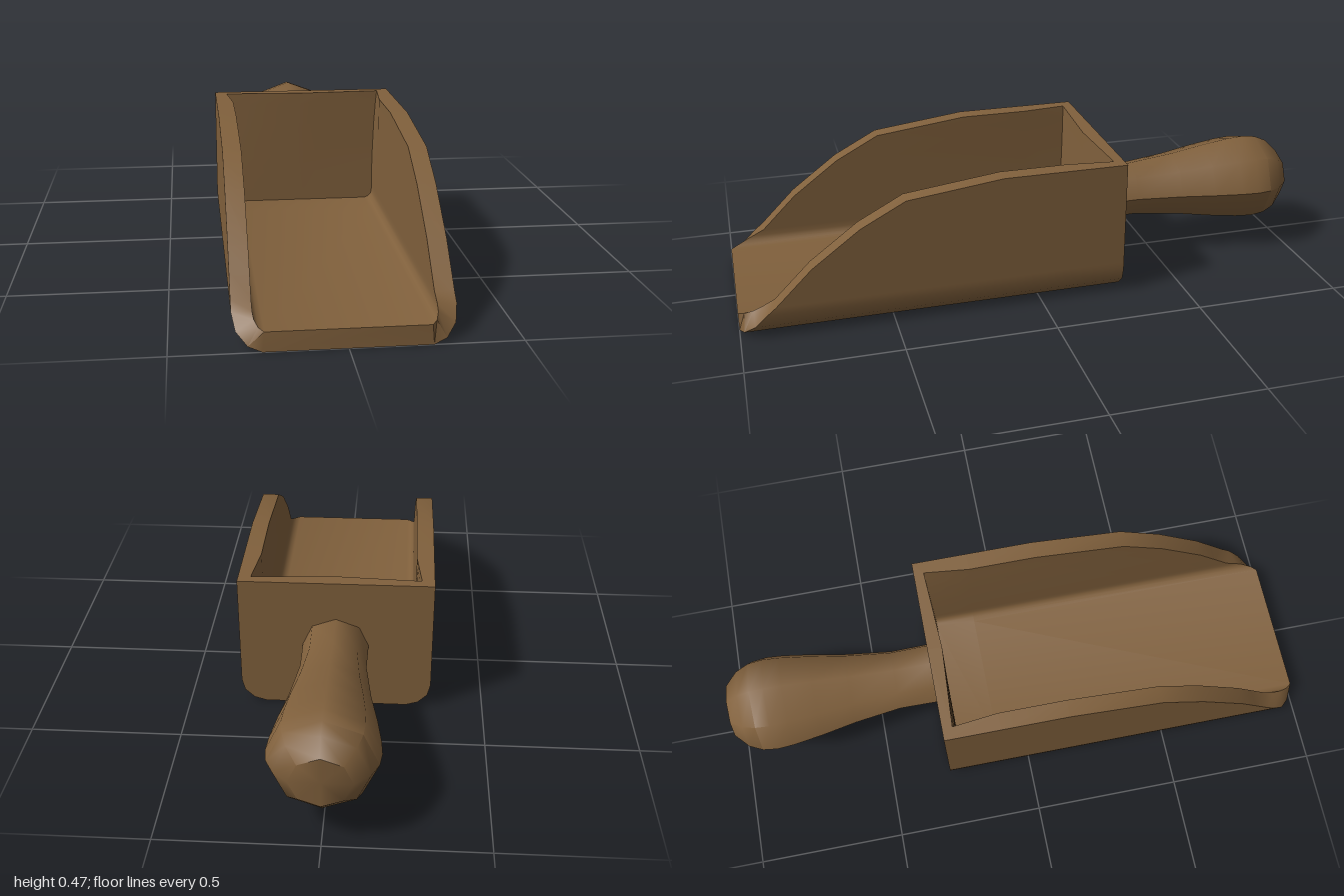
import * as THREE from 'three';
import { toCreasedNormals } from 'three/addons/utils/BufferGeometryUtils.js';

const wood = new THREE.MeshStandardMaterial({ color: 0x80603c });

// Half cross-sections from floor to rim: [x, y, z of the slanted front edge]
const upper = [[0.11, 0.88], [0.17, 0.82], [0.23, 0.76], [0.35, 0.6], [0.43, 0.45], [0.47, 0.13]];
const wall = x => upper.map(([y, z]) => [x, y, z]);
const outer = [[0.24, 0, 1], [0.28, 0.012, 0.985], [0.312, 0.043, 0.95], [0.322, 0.085, 0.91], ...wall(0.322)];
const inner = [[0.235, 0.06, 1], [0.25, 0.065, 0.98], [0.26, 0.076, 0.95], [0.263, 0.09, 0.92], ...wall(0.263)];

// Full U from the -x rim, under the floor, to the +x rim
const mirror = half => [...half.map(([x, y, z]) => [-x, y, z]).reverse(), ...half];
const atZ = (half, z) => half.map(([x, y]) => [x, y, z]);

function createScoopBody() {
  const pos = [];
  // Quads between two point rows of equal length
  const strip = (a, b) => {
    for (let i = 0; i < a.length - 1; i++) {
      pos.push(...a[i], ...a[i + 1], ...b[i + 1], ...a[i], ...b[i + 1], ...b[i]);
    }
  };

  const MID = -0.1, BACK = -0.29;
  // The cavity flares slightly towards its back upper corners
  const innerBackHalf = inner.map(([x, y]) =>
    [x + 0.017 * (y / 0.47) ** 3, y, -0.24 - 0.015 * (y - 0.06) / 0.41]);
  const outerRings = [mirror(outer), mirror(atZ(outer, MID)), mirror(atZ(outer, BACK))];
  const innerRings = [mirror(inner), mirror(atZ(inner, MID)), mirror(innerBackHalf)];

  // Outer and inner skins
  for (let k = 0; k < 2; k++) {
    strip(outerRings[k + 1], outerRings[k]);
    strip(innerRings[k], innerRings[k + 1]);
  }
  // Slanted front edge
  strip(outerRings[0], innerRings[0]);

  // Back wall, both faces
  const row = ([x, y, z], zMid) => [[-x, y, z], [0, y, zMid], [x, y, z]];
  const backRows = atZ(outer, BACK).map(p => row(p, BACK));
  const cavityRows = innerBackHalf.map(p => row(p, -0.24));
  for (let i = 0; i < outer.length - 1; i++) {
    strip(backRows[i + 1], backRows[i]);
    strip(cavityRows[i], cavityRows[i + 1]);
  }

  // Top rim on the sides and the back
  const last = outer.length * 2 - 1;
  const edge = (rings, i) => rings.map(r => r[i]);
  strip(edge(outerRings, last), edge(innerRings, last));
  strip(edge(innerRings, 0), edge(outerRings, 0));
  strip(cavityRows.at(-1), backRows.at(-1));

  const geo = new THREE.BufferGeometry();
  geo.setAttribute('position', new THREE.Float32BufferAttribute(pos, 3));
  const body = new THREE.Mesh(toCreasedNormals(geo, 0.6), wood);
  body.name = 'scoopBody';
  return body;
}

// Eight-sided turned handle, slightly wider than tall
function createHandle() {
  const profile = [
    [0.1, 0.28], [0.098, 0.42], [0.117, 0.58], [0.138, 0.7], [0.152, 0.8], [0.156, 0.86],
    [0.15, 0.91], [0.13, 0.955], [0.086, 1], [0, 1],
  ].map(([r, d]) => new THREE.Vector2(r, d));
  const geo = new THREE.LatheGeometry(profile, 8);
  geo.rotateX(-Math.PI / 2);
  geo.scale(1.1, 1, 1);
  const handle = new THREE.Mesh(toCreasedNormals(geo, 0.81), wood);
  handle.position.y = 0.236;
  handle.name = 'handle';
  return handle;
}

export function createModel() {
  const group = new THREE.Group();
  group.name = 'scoop';
  group.add(createScoopBody(), createHandle());
  return group;
}
